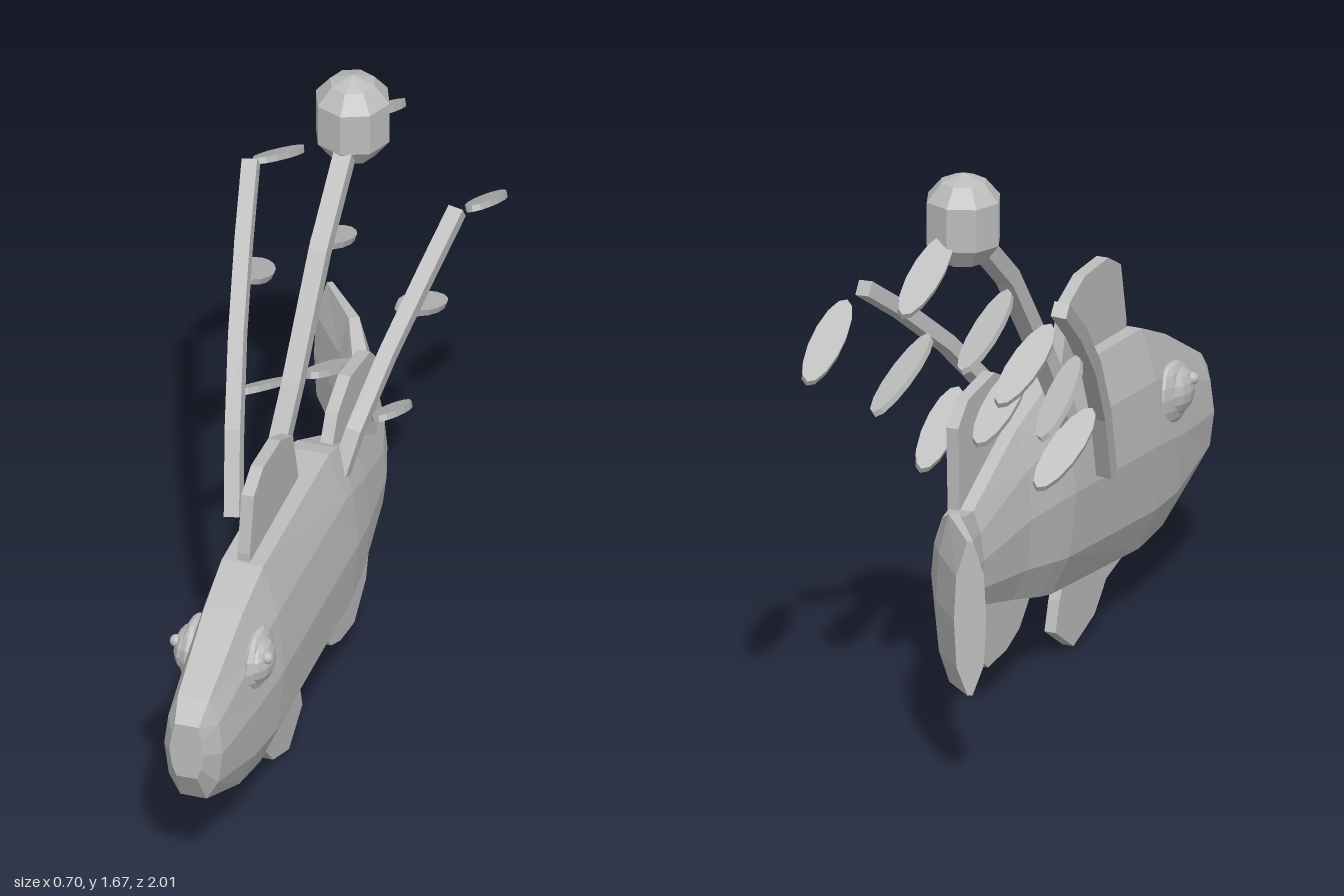
import * as THREE from 'three';

const grey = new THREE.MeshStandardMaterial({ color: 0xbcbcbc });
grey.name = 'stone grey';
grey.flatShading = true;

function part(name, geometry, parent) {
  const mesh = new THREE.Mesh(geometry, grey);
  mesh.name = name;
  parent.add(mesh);
  return mesh;
}

// Skins a list of equal rings and closes both ends
function loft(rings) {
  const n = rings[0].length;
  const index = [];
  for (let i = 0; i < rings.length - 1; i++) {
    for (let j = 0; j < n; j++) {
      const k = (j + 1) % n;
      const a = i * n + j, b = i * n + k, c = a + n, d = b + n;
      index.push(a, c, b, b, c, d);
    }
  }
  const last = (rings.length - 1) * n;
  for (let j = 1; j < n - 1; j++) {
    index.push(0, j, j + 1, last, last + j + 1, last + j);
  }
  const g = new THREE.BufferGeometry();
  g.setAttribute('position', new THREE.Float32BufferAttribute(rings.flat(2), 3));
  g.setIndex(index);
  const flat = g.toNonIndexed();
  flat.computeVertexNormals();
  return flat;
}

// One ten-sided body section, turned by yaw where the tail bends
function section([z, cx, half, top, bottom, flat, yaw = 0]) {
  const mid = bottom + (top - bottom) * 0.49;
  const up = top - mid, down = mid - bottom;
  const right = [
    [flat * 0.85, bottom], [half * 0.84, mid - down * 0.62], [half, mid],
    [half * 0.86, mid + up * 0.56], [flat, top],
  ];
  const left = right.map(([x, y]) => [-x, y]).reverse();
  return [...right, ...left].map(([x, y]) =>
    [cx + x * Math.cos(yaw), y, z - x * Math.sin(yaw)]);
}

// Square stem along a path
function stem(points, r) {
  const path = points.map((p) => new THREE.Vector3(...p));
  const u = new THREE.Vector3(1, 0, 0);
  return loft(path.map((p, i) => {
    const dir = path[Math.min(i + 1, path.length - 1)].clone()
      .sub(path[Math.max(i - 1, 0)]).normalize();
    const v = u.clone().cross(dir).normalize();
    const w = dir.clone().cross(v).normalize();
    return [[1, -1], [1, 1], [-1, 1], [-1, -1]].map(([a, b]) =>
      p.clone().addScaledVector(w, a * r).addScaledVector(v, b * r).toArray());
  }));
}

// Flat fin from a side outline of [z, y] points
function fin(outline, x, thickness) {
  const shape = new THREE.Shape(outline.map(([z, y]) => new THREE.Vector2(-z, y)));
  const g = new THREE.ExtrudeGeometry(shape, { depth: thickness, bevelEnabled: false });
  g.translate(0, 0, -thickness / 2);
  g.rotateY(Math.PI / 2);
  g.translate(x, 0, 0);
  return g;
}

export function createModel() {
  const model = new THREE.Group();
  model.name = 'plantFish';

  // Body and tail: z, centre x, half width, top, bottom, half width of the flat top, yaw
  part('body', loft([
    [1.0, 0.055, 0.05, 0.58, 0.41, 0.035],
    [0.94, 0.055, 0.085, 0.635, 0.31, 0.045],
    [0.7, 0.06, 0.11, 0.77, 0.21, 0.055],
    [0.55, 0.065, 0.122, 0.835, 0.19, 0.06],
    [0.0, 0.07, 0.127, 0.86, 0.235, 0.06],
    [-0.06, 0.075, 0.122, 0.845, 0.245, 0.058],
    [-0.2, 0.082, 0.1, 0.775, 0.28, 0.05],
    [-0.47, 0.07, 0.065, 0.625, 0.345, 0.035, 0.2],
    [-0.6, 0.035, 0.058, 0.65, 0.325, 0.028, 0.4],
    [-0.82, -0.075, 0.05, 0.75, 0.26, 0.015, 0.6],
    [-0.98, -0.2, 0.045, 0.74, 0.29, 0.008, 0.6],
  ].map(section)), model);

  // Fins
  part('frontDorsalFin', fin([[0.54, 0.8], [0.54, 0.86], [0.505, 1.03], [0.425, 1.075],
    [0.275, 1.07], [0.17, 1.02], [0.125, 0.86], [0.125, 0.8]], 0.065, 0.036), model);
  part('rearDorsalFin', fin([[-0.08, 0.8], [-0.14, 0.9], [-0.25, 0.955], [-0.42, 0.93],
    [-0.485, 0.865], [-0.475, 0.6], [-0.2, 0.7]], 0.09, 0.036), model);
  part('pelvicFin', fin([[0.62, 0.2], [0.42, 0.14], [0.345, 0.06], [0.21, 0.01],
    [0.095, 0.085], [0.12, 0.17], [0.16, 0.25]], 0.068, 0.034), model);
  part('analFin', fin([[-0.02, 0.245], [-0.1, 0.16], [-0.18, 0.125], [-0.3, 0.11],
    [-0.4, 0.19], [-0.45, 0.36], [-0.2, 0.32]], 0.085, 0.034), model);

  // Eyes: rim, raised iris and small pupil on each side
  for (const side of [-1, 1]) {
    const eye = new THREE.Group();
    eye.name = side > 0 ? 'leftEye' : 'rightEye';
    eye.position.set(0.058 + side * 0.09, 0.615, 0.665);
    model.add(eye);
    const ball = new THREE.SphereGeometry(1, 12, 8);
    part('eyeRim', ball, eye).scale.set(0.035, 0.092, 0.1);
    const iris = part('iris', ball, eye);
    iris.scale.set(0.047, 0.07, 0.075);
    iris.position.set(side * 0.006, 0.005, 0.015);
    const pupil = part('pupil', ball, eye);
    pupil.scale.setScalar(0.018);
    pupil.position.set(side * 0.042, 0.035, 0.043);
  }

  // Stems
  part('middleStem', stem([[-0.035, 0.72, 0.0], [-0.03, 0.85, -0.06], [-0.02, 0.98, -0.135],
    [-0.015, 1.28, -0.35], [-0.015, 1.47, -0.57]], 0.026), model);
  part('rightStem', stem([[-0.14, 0.61, 0.02], [-0.175, 0.82, -0.09], [-0.22, 1.02, -0.25],
    [-0.27, 1.19, -0.45], [-0.315, 1.325, -0.645]], 0.022), model);
  part('leftStem', stem([[0.14, 0.75, -0.06], [0.165, 0.87, -0.12], [0.205, 1.03, -0.28],
    [0.25, 1.18, -0.47], [0.285, 1.295, -0.64]], 0.022), model);

  // Faceted bud on the middle stem
  const budProfile = [[0, 1.405], [0.065, 1.425], [0.107, 1.48], [0.107, 1.605],
    [0.065, 1.655], [0, 1.68]].map(([r, y]) => new THREE.Vector2(r, y));
  part('bud', new THREE.LatheGeometry(budProfile, 8), model)
    .position.set(-0.018, 0, -0.64);

  // Leaves: x, y, z, roll, yaw
  const leafShape = new THREE.CylinderGeometry(1, 1, 0.018, 14);
  leafShape.scale(0.045, 1, 0.165);
  [
    [-0.302, 1.225, -0.845, 0.25, -0.06], [0.3, 1.2, -0.845, 0.35, 0.06],
    [0.0, 1.44, -0.845, 0.3, 0.0],
    [-0.27, 1.03, -0.555, -0.3, 0.1], [0.21, 1.025, -0.555, -0.3, -0.08],
    [-0.045, 1.19, -0.555, -0.2, 0.0],
    [-0.185, 0.8, -0.345, 0.3, -0.08], [0.195, 0.8, -0.345, 0.35, 0.08],
    [0.01, 0.9, -0.345, 0.2, 0.0],
  ].forEach(([x, y, z, roll, yaw]) => {
    const leaf = part('leaf', leafShape, model);
    leaf.position.set(x, y, z);
    leaf.rotation.set(-0.44, yaw, roll);
  });

  return model;
}
